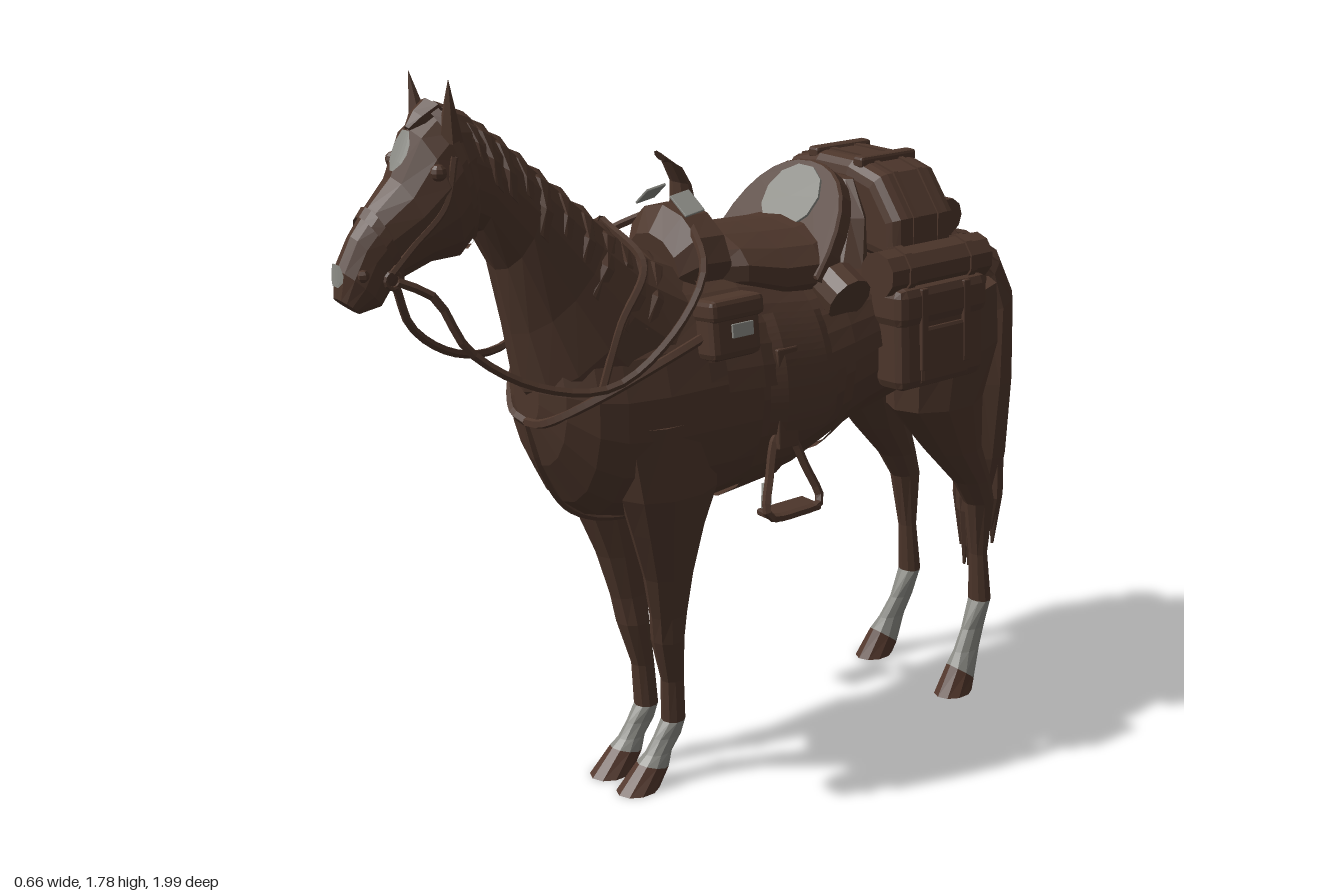
import * as THREE from 'three';
import { RoundedBoxGeometry } from 'three/addons/geometries/RoundedBoxGeometry.js';

const mat = (name, color) =>
  new THREE.MeshStandardMaterial({ name, color, flatShading: true, side: THREE.DoubleSide });
const brown = mat('brown hide and leather', 0x4d362b);
const hoofBrown = mat('hoof brown', 0x52372c);
const grey = mat('pale grey', 0x8a8a84);

// Section: [zA, yA, zB, yB, halfWidth, centreX]; A and B are opposite ends of an elliptical ring.
function loft(secs, { n = 14, arcs = null } = {}) {
  const pos = [], idx = [], mid = secs.map(s => [s[5] || 0, (s[1] + s[3]) / 2, (s[0] + s[2]) / 2]);
  secs.forEach((s, i) => {
    const [a0, a1] = arcs ? arcs[i] : [0, Math.PI * 2];
    for (let j = 0; j <= n; j++) {
      const a = a0 + (a1 - a0) * j / n, c = Math.cos(a) / 2;
      pos.push(mid[i][0] + s[4] * Math.sin(a), mid[i][1] + (s[1] - s[3]) * c, mid[i][2] + (s[0] - s[2]) * c);
    }
  });
  const r = n + 1, last = secs.length - 1;
  for (let i = 0; i < last; i++) for (let j = 0; j < n; j++) {
    const a = i * r + j, b = a + r;
    idx.push(a, b, a + 1, a + 1, b, b + 1);
  }
  if (!arcs) {
    const c0 = pos.length / 3;
    pos.push(...mid[0], ...mid[last]);
    for (let j = 0; j < n; j++) idx.push(c0, j, j + 1, c0 + 1, last * r + j + 1, last * r + j);
  }
  // Turn the faces outwards
  const o = new THREE.Vector3(...mid[0]), v = k => new THREE.Vector3().fromArray(pos, idx[k] * 3).sub(o);
  let vol = 0;
  for (let k = 0; k < idx.length; k += 3) vol += v(k).dot(v(k + 1).cross(v(k + 2)));
  if (vol < 0) idx.reverse();
  const g = new THREE.BufferGeometry();
  g.setAttribute('position', new THREE.Float32BufferAttribute(pos, 3));
  g.setIndex(idx);
  g.computeVertexNormals();
  return g;
}
const lerp = (p, q, t) => p.map((v, i) => v + (q[i] - v) * t);
const grow = (s, d) => {
  const l = Math.hypot(s[0] - s[2], s[1] - s[3]), u = (s[0] - s[2]) / l * d, v = (s[1] - s[3]) / l * d;
  return [s[0] + u, s[1] + v, s[2] - u, s[3] - v, s[4] + d, s[5] || 0];
};

const upright = (z, top, bottom, w) => [z, top, z, bottom, w];
const BODY = [
  upright(.545, 1.13, .98, .05), upright(.515, 1.2, .88, .115), upright(.46, 1.25, .78, .165), upright(.4, 1.27, .735, .19), upright(.3, 1.29, .71, .215),
  upright(.12, 1.3, .71, .235), upright(-.1, 1.26, .735, .245), upright(-.3, 1.26, .82, .24), upright(-.45, 1.29, .85, .23),
  upright(-.6, 1.31, .87, .225), upright(-.7, 1.28, .92, .2), upright(-.78, 1.225, .99, .13), upright(-.81, 1.17, 1.06, .05)];
const NECK = [
  [.12, 1.3, .44, .9, .19], [.24, 1.345, .55, 1.06, .165], [.355, 1.425, .58, 1.2, .13],
  [.515, 1.56, .615, 1.35, .1], [.65, 1.675, .665, 1.44, .085], [.73, 1.715, .72, 1.47, .075]];
const HEAD = [
  [.68, 1.7, .66, 1.5, .06], [.75, 1.73, .685, 1.43, .095], [.815, 1.68, .725, 1.395, .108], [.86, 1.585, .79, 1.395, .085],
  [.915, 1.53, .855, 1.37, .062], [.96, 1.475, .885, 1.345, .053], [.995, 1.41, .905, 1.32, .054], [1, 1.35, .955, 1.312, .035]];
// Legs: [yFront, zFront, zBack, halfWidth, x, yBack]; rows 0-7 hide, 7-10 stocking, 10-11 hoof
const FORE = [[.98, .42, .12, .09, .13], [.8, .38, .12, .085, .13], [.7, .34, .145, .07, .115], [.57, .29, .16, .05, .095], [.46, .262, .165, .038, .08],
  [.39, .25, .168, .04, .07], [.275, .217, .158, .026, .06], [.165, .212, .152, .03, .055], [.125, .24, .162, .024, .055], [.09, .264, .192, .027, .055],
  [.072, .287, .205, .036, .055, .05], [.008, .348, .235, .046, .055]];
const HIND = [[1.13, -.46, -.8, .1, .115], [.98, -.46, -.8, .105, .125], [.84, -.47, -.75, .1, .125], [.7, -.59, -.755, .065, .135], [.6, -.685, -.795, .045, .14],
  [.53, -.73, -.816, .036, .14], [.38, -.76, -.806, .027, .135], [.245, -.768, -.825, .033, .135], [.17, -.735, -.808, .022, .138], [.115, -.702, -.785, .024, .145],
  [.085, -.68, -.757, .036, .15, .03], [.008, -.632, -.745, .043, .155]];

export function createModel() {
  const root = new THREE.Group();
  const add = (name, geo, m = brown, p = [0, 0, 0], r = [0, 0, 0]) => {
    const mesh = new THREE.Mesh(geo, m);
    mesh.name = name;
    mesh.position.set(...p);
    mesh.rotation.set(...r);
    root.add(mesh);
    return mesh;
  };
  const both = f => [['left', 1], ['right', -1]].forEach(([n, s]) => f(n, s));
  const box = (name, w, h, d, p, r, m) => add(name, new RoundedBoxGeometry(w, h, d, 1, Math.min(w, h, d) * .25), m, p, r);
  const tube = (name, pts, rad = .008, closed = false) => add(name, new THREE.TubeGeometry(
    new THREE.CatmullRomCurve3(pts.map(p => new THREE.Vector3(...p)), closed), 28, rad, 5, closed));
  const bodyAt = (z, d = 0) => {
    const i = Math.max(1, BODY.findIndex(s => s[0] <= z));
    return grow(lerp(BODY[i - 1], BODY[i], (BODY[i - 1][0] - z) / (BODY[i - 1][0] - BODY[i][0])), d);
  };
  // Leather or cloth lying over the barrel between two angles from the spine
  const drape = (name, z0, z1, d, a0, a1) => {
    const secs = Array.from({ length: 6 }, (_, i) => bodyAt(z0 + (z1 - z0) * i / 5, i % 5 ? d : d * .6));
    add(name, loft(secs, { arcs: secs.map(() => [a0, a1]), n: 18 }));
  };
  const strap = (name, secs, d = .007) => add(name, loft(secs.map(s => grow(s, d)), { arcs: secs.map(() => [0, Math.PI * 2]), n: 20 }));

  // Animal
  add('body', loft(BODY, { n: 18 }));
  add('neck', loft(NECK, { n: 14 }));
  add('head', loft(HEAD, { n: 14 }));
  const marking = (name, i, widths, t0, t1) => {
    const secs = widths.map((_, k) => grow(lerp(HEAD[i], HEAD[i + 1], t0 + (t1 - t0) * k / (widths.length - 1)), .005));
    add(name, loft(secs, { n: 6, arcs: widths.map(w => [-w, w]) }), grey);
  };
  marking('forehead marking', 2, [.12, .27, .3, .25, .06], .08, .92);
  marking('nose marking', 6, [.25, .46, .48, .25], -.15, .62);

  both((side, s) => {
    for (const [kind, leg] of [['Foreleg', FORE], ['Hindleg', HIND]]) {
      const secs = leg.map(([y, f, b, w, x, yb = y]) => [f, y, b, yb, w, x * s]);
      add(side + kind, loft(secs.slice(0, 8), { n: 10 }));
      add(side + kind + 'Stocking', loft(secs.slice(7, 11), { n: 10 }), grey);
      add(side + kind + 'Hoof', loft(secs.slice(10), { n: 10 }), hoofBrown);
    }
    const ear = add(side + 'Ear', new THREE.ConeGeometry(.034, .13, 6), brown, [.068 * s, 1.722, .755], [.1, 0, -.16 * s]);
    ear.scale.z = .75;
    add(side + 'Eye', new THREE.SphereGeometry(.018, 8, 6), brown, [.09 * s, 1.6, .8]);
    add(side + 'Nostril', new THREE.SphereGeometry(.014, 6, 5), brown, [.044 * s, 1.4, .96]);
    // Mane locks hanging from the crest
    for (let i = 0; i < 11; i++) {
      const t = i / 10 * 3.6 + .9, k = Math.min(4, Math.floor(t)), c = lerp(NECK[k], NECK[k + 1], t - k);
      const len = (s > 0 ? .62 : .4) + .12 * Math.sin(i * 2.4);
      const pts = [0, .3, .7, 1].map((f, j) => {
        const a = f * len * 2.1, q = (1 - Math.cos(a)) / 2, z = c[0] + (c[2] - c[0]) * q, y = c[1] + (c[3] - c[1]) * q - .012 * j;
        return [z + .026 - .01 * j, y + .012, z - .026, y - .012, [.01, .015, .012, .003][j], s * (c[4] * Math.sin(a) + .005)];
      });
      add(side + 'ManeLock', loft(pts, { n: 6 }));
    }
  });
  add('forelock', loft([[.77, 1.738, .73, 1.7, .04], [.8, 1.715, .78, 1.68, .03], [.82, 1.685, .81, 1.67, .01]], { n: 6 }));

  // Tail with ragged tips
  add('tail', loft([[-.74, 1.25, -.77, 1.15, .03], [-.83, 1.225, -.82, 1.14, .045], [-.905, 1.18, -.85, 1.08, .075], [-.97, 1.06, -.86, 1.0, .084],
    [-.987, .81, -.85, .81, .085], [-.982, .6, -.842, .6, .075], [-.965, .44, -.85, .44, .05]], { n: 10 }));
  for (let i = 0; i < 9; i++) {
    const a = i * 2.4, x = .045 * Math.sin(a), z = -.912 + .045 * Math.cos(a), y = .28 + .05 * (i % 4);
    add('tailStrand', loft([[z + .02, .68, z - .02, .68, .022, x], [z + .022, .48, z - .022, .48, .02, x * 1.2],
      [z - .002, y, z - .011, y, .004, x * .9]], { n: 5 }));
  }

  // Bridle and reins
  strap('noseband', [lerp(HEAD[4], HEAD[5], .1), lerp(HEAD[4], HEAD[5], .45)]);
  strap('browband', [lerp(HEAD[1], HEAD[2], .15), lerp(HEAD[1], HEAD[2], .4)]);
  both((side, s) => {
    tube(side + 'Cheekpiece', [[.098 * s, 1.63, .765], [.096 * s, 1.53, .79], [.07 * s, 1.45, .855], [.06 * s, 1.4, .9]]);
    add(side + 'BitRing', new THREE.TorusGeometry(.018, .005, 5, 12), brown, [.06 * s, 1.385, .9], [0, Math.PI / 2, 0]);
    tube(side + 'Rein', [[.062 * s, 1.38, .89], [.085 * s, 1.34, .82], [.118 * s, 1.22, .76], [.165 * s, 1.125, .62], [.212 * s, 1.105, .46],
      [.23 * s, 1.2, .31], [.2 * s, 1.32, .2], [.05 * s, 1.41, .13]], .01);
    // Breast collar
    tube(side + 'BreastStrap', [[.23 * s, 1.2, .16], [.215 * s, 1.14, .32], [.165 * s, 1.07, .46], [.06 * s, 1.0, .54], [0, .99, .545]], .012);
    tube(side + 'ShoulderStrap', [[.165 * s, 1.07, .46], [.16 * s, 1.22, .4], [.14 * s, 1.34, .32], [0, 1.42, .33]], .01);
  });
  tube('breastTie', [[0, .99, .545], [0, .88, .513], [0, .775, .455], [0, .73, .39], [0, .706, .3], [0, .7, .08]], .01);

  // Saddle
  drape('saddleBlanket', .2, -.62, .014, -1.35, 1.35);
  drape('saddleSkirt', .16, -.3, .026, -1.45, 1.45);
  strap('girth', [bodyAt(.06), bodyAt(-.06)], .01);
  strap('rearGirth', [bodyAt(-.19), bodyAt(-.22)], .008);
  add('seat', loft([[.1, 1.36, .1, 1.2, .13], [.04, 1.365, .04, 1.2, .17], [-.06, 1.36, -.06, 1.16, .19],
    [-.16, 1.355, -.16, 1.16, .2], [-.24, 1.36, -.24, 1.2, .17]], { n: 14 }));
  add('pommel', loft([[.2, 1.37, .18, 1.2, .1], [.16, 1.43, .14, 1.2, .14], [.09, 1.43, .07, 1.2, .15], [.06, 1.36, .06, 1.2, .13]], { n: 12 }));
  add('horn', loft([[.14, 1.37, .07, 1.36, .045], [.13, 1.43, .075, 1.43, .034], [.13, 1.48, .085, 1.47, .028],
    [.155, 1.53, .11, 1.51, .026], [.175, 1.556, .16, 1.53, .018]], { n: 8 }));
  const cantle = new THREE.Shape();
  cantle.moveTo(-.2, -.06);
  cantle.bezierCurveTo(-.2, .12, -.12, .21, 0, .21);
  cantle.bezierCurveTo(.12, .21, .2, .12, .2, -.06);
  add('cantle', new THREE.ExtrudeGeometry(cantle, { depth: .035, bevelSize: .006, bevelThickness: .006, bevelSegments: 1, curveSegments: 8 }),
    brown, [0, 1.28, -.2], [-.62, 0, 0]);
  add('cantleBack', loft([[-.2, 1.25, -.36, 1.25, .2], [-.26, 1.36, -.36, 1.36, .17], [-.31, 1.44, -.36, 1.44, .1]], { n: 12 }));
  const lining = add('cantleLining', new THREE.CylinderGeometry(.075, .075, .006, 11), grey, [0, 1.397, -.2275], [Math.PI / 2 - .62, 0, 0]);
  lining.scale.set(1.22, 1, 1.15);
  // Single fittings, each on one side only
  box('canteenPatch', .06, .006, .07, [-.238, 1.268, -.2], [0, 0, .47], grey);
  box('pouchPlate', .006, .032, .06, [.2765, 1.195, .15], [0, 0, .12], grey);

  both((side, s) => {
    drape(side + 'Fender', .05, -.15, .034, s * .9, s * 1.85);
    box(side + 'StirrupStrap', .015, .24, .06, [.255 * s, 1.0, 0], [0, 0, .04 * s]);
    // Open stirrup, flaring outwards
    tube(side + 'Stirrup', [[.24 * s, .91, .015], [.262 * s, .82, .055], [.292 * s, .74, .082], [.296 * s, .73, 0],
      [.29 * s, .74, -.075], [.262 * s, .82, -.055], [.24 * s, .91, -.015]], .011, true);
    box(side + 'StirrupTread', .07, .016, .14, [.268 * s, .73, 0]);
    box(side + 'StirrupPlate', .03, .06, .006, [.268 * s, .78, .07], [-.3, 0, .3 * s], grey);
    // Front pouches
    box(side + 'FrontPouch', .07, .13, .14, [.237 * s, 1.19, .16], [0, 0, .12 * s]);
    box(side + 'FrontPouchFlap', .08, .05, .15, [.237 * s, 1.24, .16], [0, 0, .12 * s]);
    box(side + 'PommelPatch', .065, .006, .055, [.068 * s, 1.442, .142], [.15, 0, -.65 * s], grey);
    add(side + 'Canteen', new THREE.CylinderGeometry(.06, .06, .07, 12), brown, [.213 * s, 1.21, -.2], [0, 0, 1.1 * s]);
    // Saddlebags
    box(side + 'Saddlebag', .1, .25, .28, [.268 * s, 1.085, -.44], [0, 0, .06 * s]);
    box(side + 'SaddlebagFlap', .115, .1, .295, [.264 * s, 1.165, -.44], [0, 0, .06 * s]);
    box(side + 'SaddlebagPocket', .04, .14, .16, [.306 * s, 1.045, -.44], [0, 0, .05 * s]);
    for (const dz of [-.07, .07]) box(side + 'SaddlebagStrap', .012, .2, .022, [.32 * s, 1.11, -.44 + dz], [0, 0, .05 * s]);
    add(side + 'SideRoll', new THREE.CylinderGeometry(.056, .056, .33, 10), brown, [.255 * s, 1.245, -.44], [Math.PI / 2, 0, 0]);
    for (const dz of [-.1, .1]) add(side + 'RollStrap', new THREE.CylinderGeometry(.061, .061, .022, 10), brown, [.255 * s, 1.245, -.44 + dz], [Math.PI / 2, 0, 0]);
  });

  // Bedroll arched over the back, with its straps
  const arch = (d) => {
    const pts = [[-.24, 1.24], [-.235 - d, 1.36], [-.16 - d, 1.455 + d], [-.06, 1.48 + d], [.06, 1.48 + d], [.16 + d, 1.455 + d], [.235 + d, 1.36], [.24, 1.24], [0, 1.27]];
    return new THREE.Shape(pts.map(p => new THREE.Vector2(...p)));
  };
  const slab = (name, d, z, depth, bevel) => add(name, new THREE.ExtrudeGeometry(arch(d),
    { depth, bevelEnabled: bevel > 0, bevelSize: bevel, bevelThickness: bevel, bevelOffset: -bevel, bevelSegments: 3 }), brown, [0, 0, z]);
  slab('bedroll', 0, -.52, .13, .038);
  for (const z of [-.5, -.42]) slab('bedrollSeam', .004, z, .014, 0);
  for (const x of [-.08, .08]) box('bedrollStrap', .035, .03, .18, [x, 1.473, -.455]);
  add('rearRoll', new THREE.CylinderGeometry(.045, .045, .4, 10), brown, [0, 1.335, -.56], [0, 0, Math.PI / 2]);
  return root;
}
